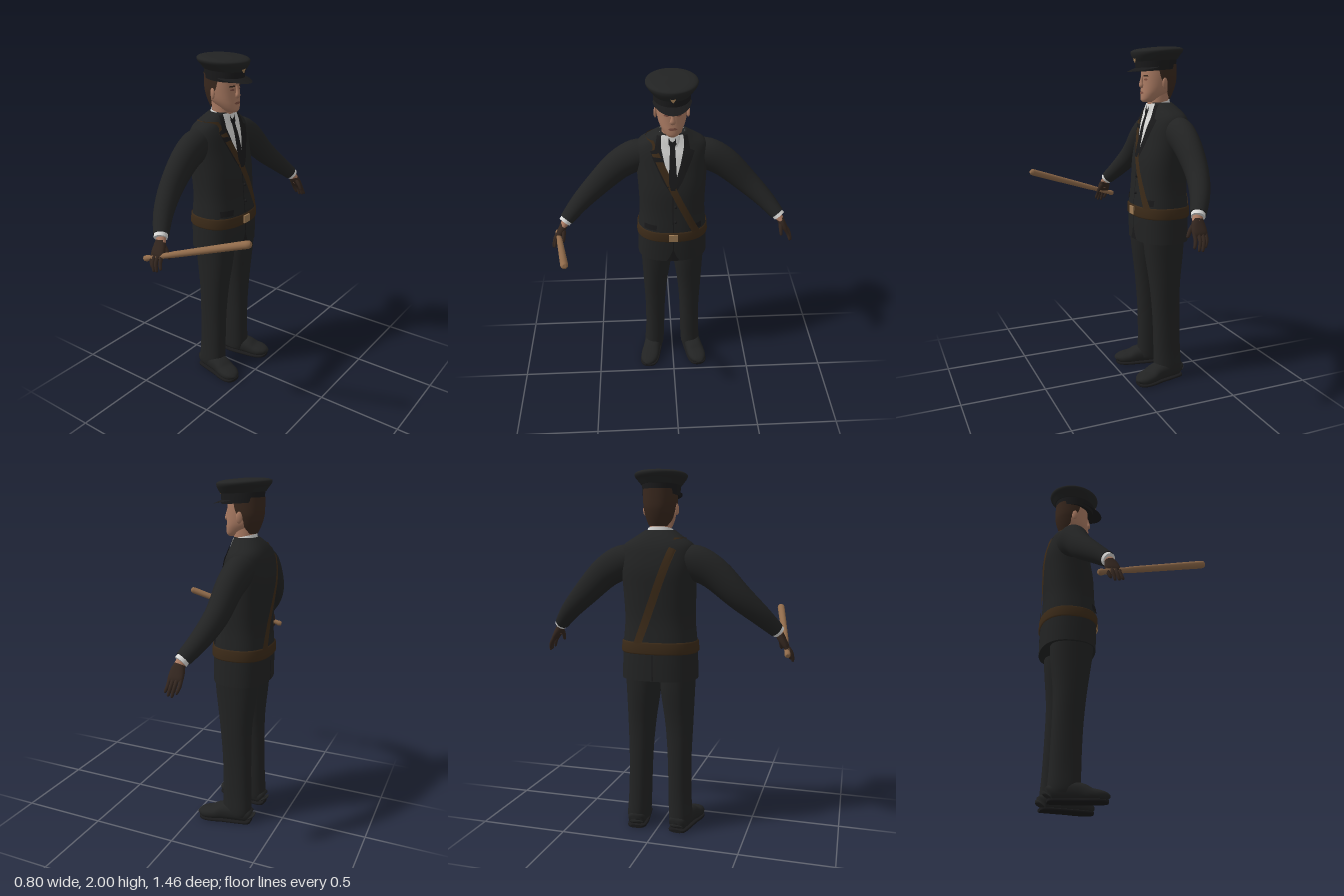
import * as THREE from 'three';

const mat = (name, color) => new THREE.MeshStandardMaterial({ name, color, side: THREE.DoubleSide });
const M = {
  uniform: mat('uniform cloth', 0x222323), black: mat('black trim', 0x1a1a1b), leather: mat('brown leather', 0x3b2a18),
  skin: mat('skin', 0xa97a62), hair: mat('hair', 0x38271d), shirt: mat('white shirt', 0xd8d8d6),
  glove: mat('dark glove', 0x33261f), wood: mat('wood', 0x8f6a4a), brass: mat('brass', 0x9c7a54), lips: mat('lips', 0x7c4f41),
};

// Catmull-Rom refinement of rows of numbers
function refine(rows, k = 4) {
  const out = [], at = i => rows[Math.max(0, Math.min(rows.length - 1, i))];
  for (let i = 0; i < rows.length - 1; i++) for (let s = 0; s < k; s++) {
    const t = s / k, [a, b, c, d] = [at(i - 1), at(i), at(i + 1), at(i + 2)];
    out.push(b.map((_, j) => b[j] + 0.5 * t * (c[j] - a[j] + t * (2 * a[j] - 5 * b[j] + 4 * c[j] - d[j]
      + t * (3 * (b[j] - c[j]) + d[j] - a[j])))));
  }
  return [...out, rows[rows.length - 1]];
}

// Skin over rows of points; closed rings may be capped at both ends
function skin(name, material, rings, closed = true, caps = closed) {
  const pos = [], idx = [], n = rings[0].length, span = closed ? n : n - 1;
  rings.forEach(r => r.forEach(p => pos.push(...p)));
  for (let i = 0; i < rings.length - 1; i++) for (let j = 0; j < span; j++) {
    const k = (j + 1) % n, a = i * n + j, b = i * n + k, c = b + n, d = a + n;
    idx.push(a, b, c, a, c, d);
  }
  if (caps) [rings[0], rings[rings.length - 1]].forEach((r, e) => {
    const o = pos.length / 3;
    r.forEach(p => pos.push(...p));
    pos.push(...[0, 1, 2].map(q => r.reduce((s, p) => s + p[q], 0) / n));
    for (let j = 0; j < n; j++) {
      const k = (j + 1) % n;
      idx.push(o + n, e ? o + j : o + k, e ? o + k : o + j);
    }
  });
  const g = new THREE.BufferGeometry();
  g.setAttribute('position', new THREE.Float32BufferAttribute(pos, 3));
  g.setIndex(idx);
  g.computeVertexNormals();
  const m = new THREE.Mesh(g, material);
  m.name = name;
  return m;
}
const spow = (v, e) => Math.sign(v) * Math.abs(v) ** e;

// Upright form from rows [y, backX, frontX, halfZ, centreZ, arc]
function column(name, material, rows, { p = 2.2, n = 40, open = false, caps = !open } = {}) {
  return skin(name, material, rows.map(([y, xb, xf, hz, cz = 0, arc = Math.PI]) =>
    Array.from({ length: open ? n + 1 : n }, (_, j) => {
      const a = Math.PI + arc * (2 * j / n - 1);
      return [(xb + xf) / 2 + (xf - xb) / 2 * spow(Math.cos(a), 2 / p), y, cz - hz * spow(Math.sin(a), 2 / p)];
    })), !open, caps);
}

// Swept form from rows [x, y, z, radiusU, radiusV]
function limb(name, material, rows, n = 24, p = 2) {
  const P = rows.map(r => new THREE.Vector3(r[0], r[1], r[2]));
  return skin(name, material, rows.map((r, i) => {
    const t = P[Math.min(i + 1, P.length - 1)].clone().sub(P[Math.max(i - 1, 0)]).normalize();
    const u = Math.abs(t.x) > 0.8 ? new THREE.Vector3(0, 1, 0) : new THREE.Vector3(1, 0, 0);
    u.addScaledVector(t, -u.dot(t)).normalize();
    const v = t.clone().cross(u);
    return Array.from({ length: n }, (_, j) => {
      const a = j / n * Math.PI * 2;
      return P[i].clone().addScaledVector(u, r[3] * spow(Math.cos(a), 2 / p))
        .addScaledVector(v, r[4] * spow(Math.sin(a), 2 / p)).toArray();
    });
  }));
}

function rowAt(rows, y) {
  let i = 0;
  while (i < rows.length - 2 && rows[i + 1][0] < y) i++;
  const t = THREE.MathUtils.clamp((y - rows[i][0]) / (rows[i + 1][0] - rows[i][0]), 0, 1);
  return rows[i].map((v, j) => v + (rows[i + 1][j] - v) * t);
}

// Thin plate lying on a column, from rows [y, z1, z2] going upward
function plate(name, material, body, p, spec, lift = 0.005, side = 1, k = 8) {
  const rows = [];
  for (let i = 0; i < spec.length - 1; i++) for (let s = i ? 1 : 0; s <= k; s++)
    rows.push(spec[i].map((v, j) => v + (spec[i + 1][j] - v) * s / k));
  return skin(name, material, rows.map(([y, z1, z2]) => Array.from({ length: 9 }, (_, j) => {
    const [a, b] = side > 0 ? [Math.max(z1, z2), Math.min(z1, z2)] : [Math.min(z1, z2), Math.max(z1, z2)];
    const z = a + (b - a) * j / 8, [, xb, xf, hz] = rowAt(body, y);
    const f = Math.max(0, 1 - Math.abs(z / (hz + lift)) ** p) ** (1 / p);
    return [(xb + xf) / 2 + side * ((xf - xb) / 2 + lift) * f, y, z];
  })), false);
}
const shear = (m, k, x0) => { // tilt forward or back by sliding y along x
  m.geometry.applyMatrix4(new THREE.Matrix4().set(1, 0, 0, 0, k, 1, 0, -k * x0, 0, 0, 1, 0, 0, 0, 0, 1));
  return m;
};

export function createModel() {
  const g = new THREE.Group();
  g.name = 'uniformedOfficer';

  // Jacket with belt, straps, lapels, shirt and tie
  const TP = 2.4;
  const torso = refine([[0.875, -0.393, -0.077, 0.212], [1.05, -0.393, -0.073, 0.207], [1.2, -0.383, -0.085, 0.195],
    [1.35, -0.39, -0.095, 0.2], [1.47, -0.395, -0.12, 0.207], [1.56, -0.38, -0.14, 0.207], [1.61, -0.362, -0.157, 0.19],
    [1.65, -0.335, -0.166, 0.132], [1.685, -0.298, -0.172, 0.082]]);
  g.add(column('jacket', M.uniform, torso, { p: TP, n: 56 }));
  const band = [1.022, 1.03, 1.08, 1.088].map((y, i) => {
    const [, xb, xf, hz] = rowAt(torso, y), o = i % 3 ? 0.008 : 0.002;
    return [y, xb - o, xf + o, hz + o];
  });
  g.add(column('belt', M.leather, band, { p: TP, n: 56, caps: false }));
  const on = (name, m, spec, lift, side) => g.add(plate(name, m, torso, TP, spec, lift, side));
  on('frontStrap', M.leather, [[1.08, -0.16, -0.115], [1.645, 0.105, 0.15]], 0.007, 1);
  on('backStrap', M.leather, [[1.08, -0.11, -0.06], [1.645, 0.105, 0.15]], 0.007, -1);
  on('shirtFront', M.shirt, [[1.4, -0.012, 0.012], [1.52, -0.045, 0.045], [1.63, -0.068, 0.068], [1.68, -0.06, 0.06]], 0.003, 1);
  on('tie', M.black, [[1.37, -0.012, 0.012], [1.42, -0.024, 0.024], [1.62, -0.014, 0.014], [1.63, -0.021, 0.021], [1.665, -0.021, 0.021]], 0.009, 1);
  on('jacketOpening', M.black, [[0.877, -0.04, 0.04], [0.91, -0.02, 0.02], [0.96, -0.003, 0.003], [1.38, -0.003, 0.003]], 0.002, 1);
  on('backVent', M.black, [[0.877, -0.004, 0.004], [1.02, -0.003, 0.003]], 0.002, -1);
  for (const s of [1, -1]) {
    on('lapel', M.black, [[1.34, 0, s * 0.006], [1.42, s * 0.016, s * 0.055], [1.54, s * 0.05, s * 0.108],
      [1.59, s * 0.064, s * 0.125], [1.6, s * 0.065, s * 0.1], [1.675, s * 0.063, s * 0.085]], 0.006, 1);
    on('pocketFlap', M.black, [[1.1, s * 0.1, s * 0.17], [1.135, s * 0.095, s * 0.17]], 0.005, 1);
  }
  const buckle = new THREE.Mesh(new THREE.BoxGeometry(0.009, 0.046, 0.052), M.brass);
  buckle.name = 'buckle';
  buckle.position.set(-0.062, 1.056, 0);
  g.add(buckle);
  for (const y of [1.16, 1.26]) {
    const b = new THREE.Mesh(new THREE.SphereGeometry(0.009, 12, 8), M.black);
    b.name = 'jacketButton';
    b.position.set(rowAt(torso, y)[2] + 0.002, y, -0.014);
    g.add(b);
  }

  // Neck and shirt collar
  g.add(column('neck', M.skin, [[1.62, -0.285, -0.17, 0.06], [1.68, -0.285, -0.165, 0.058], [1.75, -0.29, -0.17, 0.06]]));
  g.add(shear(column('shirtCollar', M.shirt, [[1.62, -0.298, -0.152, 0.082], [1.66, -0.294, -0.156, 0.076],
    [1.688, -0.29, -0.16, 0.069]], { caps: false }), -0.22, -0.22));

  // Head, hair and face
  const head = refine([[1.687, -0.2, -0.13, 0.026], [1.7, -0.225, -0.12, 0.044], [1.73, -0.27, -0.12, 0.064],
    [1.76, -0.305, -0.123, 0.077], [1.8, -0.322, -0.125, 0.084], [1.84, -0.326, -0.126, 0.087], [1.9, -0.322, -0.128, 0.087]]);
  g.add(column('head', M.skin, head));
  g.add(column('hair', M.hair, refine([[1.705, -0.296, -0.15, 0.062, 0, 0.9], [1.74, -0.312, -0.121, 0.076, 0, 1.25],
    [1.78, -0.325, -0.121, 0.085, 0, 1.4], [1.82, -0.331, -0.121, 0.091, 0, 1.75], [1.9, -0.331, -0.121, 0.092, 0, 1.95]]),
  { open: true, caps: false }));
  g.add(limb('nose', M.skin, refine([[-0.127, 1.835, 0, 0.008, 0.008], [-0.12, 1.805, 0, 0.01, 0.01],
    [-0.118, 1.782, 0, 0.012, 0.017], [-0.122, 1.768, 0, 0.006, 0.01]]), 16));
  g.add(plate('mouth', M.lips, head, 2.2, [[1.733, -0.015, 0.015], [1.739, -0.026, 0.026], [1.747, -0.013, 0.013]], 0.003));
  for (const s of [1, -1]) {
    g.add(plate('eyebrow', M.hair, head, 2.2, [[1.831, s * 0.016, s * 0.054], [1.839, s * 0.02, s * 0.05]], 0.004));
    g.add(plate('eye', M.lips, head, 2.2, [[1.81, s * 0.026, s * 0.042], [1.815, s * 0.02, s * 0.049], [1.82, s * 0.027, s * 0.042]], 0.002));
    const ear = new THREE.Mesh(new THREE.SphereGeometry(1, 16, 12), M.skin);
    ear.name = 'ear';
    ear.scale.set(0.018, 0.031, 0.009);
    ear.position.set(-0.225, 1.795, s * 0.091);
    ear.rotation.y = s * -0.3;
    g.add(ear);
  }

  // Peaked cap
  g.add(shear(column('capBand', M.black, [[1.868, -0.328, -0.09, 0.101], [1.93, -0.332, -0.086, 0.104]], { p: 2 }), -0.08, -0.21));
  g.add(shear(column('capCrown', M.uniform, refine([[1.922, -0.336, -0.083, 0.107], [1.945, -0.352, -0.07, 0.126], [1.966, -0.367, -0.063, 0.142],
    [1.982, -0.362, -0.068, 0.139], [1.992, -0.32, -0.11, 0.105], [1.997, -0.235, -0.195, 0.02]]), { p: 2, n: 48 }), -0.06, -0.215));
  g.add(skin('capVisor', M.black, [0, 0.35, 0.7, 1].map(t => Array.from({ length: 25 }, (_, j) => {
    const a = (1 - 2 * j / 24) * 1.35, c = Math.cos(a);
    return [-0.209 + 0.119 * c + t * 0.056 * c, 1.888 - t * 0.024 * c - 0.008 * c, (0.101 + 0.008 * t) * Math.sin(a)];
  })), false));
  const shield = new THREE.Shape([[0, -0.022], [0.012, -0.006], [0.022, 0.014], [0.008, 0.011], [0, 0.017],
    [-0.008, 0.011], [-0.022, 0.014], [-0.012, -0.006]].map(p => new THREE.Vector2(...p)));
  const badge = new THREE.Mesh(new THREE.ExtrudeGeometry(shield, { depth: 0.006, bevelEnabled: false }), M.brass);
  badge.name = 'capBadge';
  badge.rotation.y = Math.PI / 2;
  badge.position.set(-0.08, 1.93, 0);
  g.add(badge);

  for (const s of [1, -1]) {
    const side = s > 0 ? 'right' : 'left';
    const add = (part, m, rows, n, p) => g.add(limb(side + part, m, rows.map(([x, y, z, a, b]) => [x, y, z * s, a, b]), n, p));

    // Sleeve, cuff and gloved hand
    add('Sleeve', M.uniform, refine([[-0.27, 1.545, 0.1, 0.075, 0.06], [-0.268, 1.515, 0.2, 0.08, 0.093], [-0.262, 1.455, 0.31, 0.073, 0.088],
      [-0.25, 1.335, 0.44, 0.063, 0.072], [-0.21, 1.235, 0.55, 0.054, 0.056], [-0.157, 1.152, 0.632, 0.043, 0.042]]), 28);
    add('ShirtCuff', M.shirt, [[-0.162, 1.16, 0.625, 0.038, 0.037], [-0.149, 1.139, 0.645, 0.037, 0.036]]);
    add('Wrist', M.skin, [[-0.158, 1.155, 0.63, 0.028, 0.024], [-0.14, 1.115, 0.655, 0.029, 0.021]]);
    add('Palm', M.glove, refine([[-0.147, 1.128, 0.648, 0.028, 0.022], [-0.142, 1.1, 0.662, 0.038, 0.021],
      [-0.14, 1.065, 0.683, 0.042, 0.017], [-0.14, 1.05, 0.69, 0.036, 0.012]]), 20, 2.4);
    add('PalmOpening', M.skin, [[-0.142, 1.107, 0.649, 0.012, 0.008], [-0.141, 1.085, 0.661, 0.026, 0.012],
      [-0.14, 1.066, 0.672, 0.012, 0.008]], 16);
    [[-0.172, 0.992, 0.712], [-0.151, 0.977, 0.722], [-0.13, 0.98, 0.722], [-0.109, 0.992, 0.712]].forEach(([x, y, z], i) => {
      const bx = -0.171 + i * 0.021, tip = x + 0.012;
      add('Finger', M.glove, refine([[bx, 1.068, 0.681, 0.01, 0.011], [x + 0.002, 1.03, z - 0.01, 0.01, 0.01],
        [tip, y + 0.008, z, 0.008, 0.008], [tip + 0.001, y, z, 0.003, 0.003]], 3), 10);
    });
    add('Thumb', M.glove, refine([[-0.13, 1.112, 0.653, 0.013, 0.013], [-0.105, 1.08, 0.652, 0.012, 0.012],
      [-0.088, 1.045, 0.655, 0.009, 0.009], [-0.086, 1.038, 0.656, 0.004, 0.004]], 3), 10);

    // Trouser leg
    g.add(column(side + 'TrouserLeg', M.uniform, refine([[0.045, -0.335, -0.172, 0.061, 0.124], [0.08, -0.34, -0.166, 0.064, 0.124],
      [0.2, -0.333, -0.165, 0.0625, 0.118], [0.4, -0.327, -0.158, 0.064, 0.114], [0.6, -0.326, -0.14, 0.075, 0.11],
      [0.8, -0.345, -0.112, 0.092, 0.1], [0.93, -0.35, -0.1, 0.098, 0.1]]).map(r => [r[0], r[1], r[2], r[3], s * r[4]]), { p: 2.3 }));

    // Shoe and sole, rows of [x, height, halfWidth, centreZ]
    const shoe = [[-0.34, 0.05, 0.028, 0.118], [-0.322, 0.085, 0.048, 0.12], [-0.25, 0.105, 0.056, 0.13], [-0.17, 0.098, 0.057, 0.145],
      [-0.12, 0.073, 0.06, 0.157], [-0.075, 0.062, 0.056, 0.168], [-0.045, 0.05, 0.04, 0.174], [-0.033, 0.032, 0.018, 0.176]];
    add('Shoe', M.uniform, refine(shoe.map(([x, h, w, z]) => [x, h / 2 + 0.006, z, h / 2, w])), 28, 2.4);
    add('Sole', M.black, refine(shoe.map(([x, , w, z]) => [x, 0.009, z, 0.009, w + 0.003])), 24, 4);
  }

  // Baton held in the right hand
  const A = [-0.222, 1.022, 0.703], B = [0.397, 1.228, 0.592];
  g.add(limb('baton', M.wood, [[0, 0.009], [0.008, 0.015], [0.03, 0.017], [0.05, 0.0145], [0.25, 0.015], [0.3, 0.017],
    [0.97, 0.021], [0.99, 0.018], [1, 0.01]].map(([t, r]) => [...A.map((a, i) => a + (B[i] - a) * t), r, r]), 20));
  return g;
}
